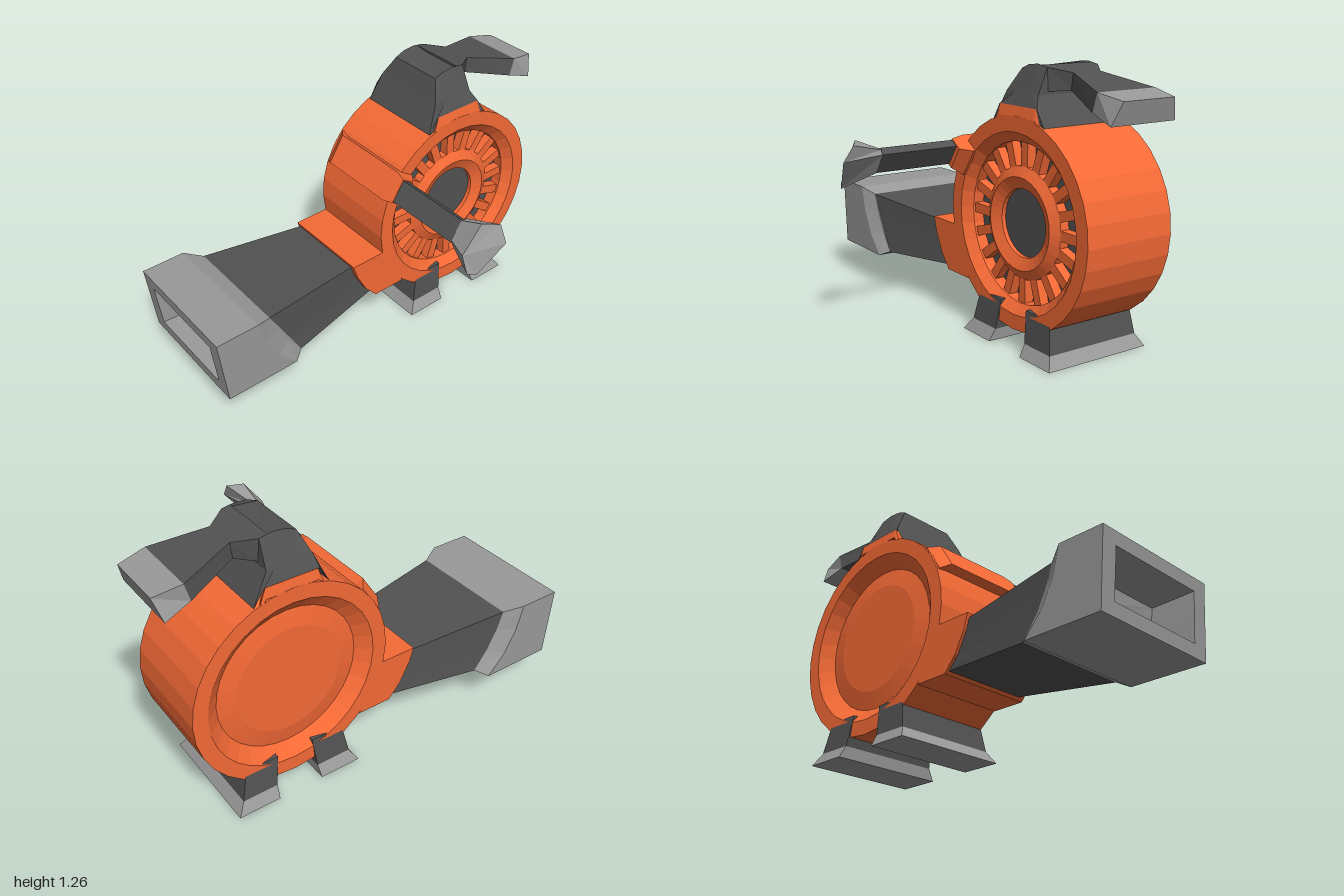
import * as THREE from 'three';

const mat = (color) => new THREE.MeshStandardMaterial({ color, flatShading: true });
const CX = 0.447, CY = 0.567, FRONT = -0.05, BACK = -0.512;

// Turns a closed geometry outward if its signed volume is negative
function outward(source) {
  const geo = source.index ? source.toNonIndexed() : source;
  const p = geo.attributes.position;
  const v = [0, 1, 2].map(() => new THREE.Vector3());
  let volume = 0;
  for (let i = 0; i < p.count; i += 3) {
    v.forEach((q, k) => q.fromBufferAttribute(p, i + k));
    volume += v[0].dot(v[1].clone().cross(v[2]));
  }
  if (volume < 0) {
    for (let i = 0; i < p.count; i += 3) {
      v.forEach((q, k) => q.fromBufferAttribute(p, i + k));
      p.setXYZ(i + 1, v[2].x, v[2].y, v[2].z);
      p.setXYZ(i + 2, v[1].x, v[1].y, v[1].z);
    }
  }
  geo.computeVertexNormals();
  return geo;
}

// Closed solid through rings of equal point count
function loft(rings) {
  const n = rings[0].length, pos = [];
  const tri = (a, b, c) => pos.push(...a, ...b, ...c);
  for (let r = 0; r < rings.length - 1; r++) {
    const a = rings[r], b = rings[r + 1];
    for (let i = 0; i < n; i++) {
      const j = (i + 1) % n;
      tri(a[i], a[j], b[j]);
      tri(a[i], b[j], b[i]);
    }
  }
  const first = rings[0], last = rings[rings.length - 1];
  for (let i = 1; i < n - 1; i++) {
    tri(first[0], first[i + 1], first[i]);
    tri(last[0], last[i], last[i + 1]);
  }
  const geo = new THREE.BufferGeometry();
  geo.setAttribute('position', new THREE.Float32BufferAttribute(pos, 3));
  return outward(geo);
}

// Ring made of an xy line at zf, returning along the same line at zb
const pair = (line, zf, zb) => [
  ...line.map(([x, y]) => [x, y, zf]),
  ...line.map(([x, y]) => [x, y, zb]).reverse(),
];

export function createModel() {
  const group = new THREE.Group();
  const orange = mat(0xf56a36), dark = mat(0x525252), light = mat(0x999999);
  const add = (name, geo, material, parent = group) => {
    const mesh = new THREE.Mesh(geo, material);
    mesh.name = name;
    parent.add(mesh);
    return mesh;
  };

  // Drum housing with dished back, front rim and raised hub ring
  const profile = [
    [0, -0.475], [0.26, -0.475], [0.345, -0.46], [0.41, BACK], [0.48, BACK],
    [0.48, FRONT], [0.41, FRONT], [0.365, -0.09], [0.365, -0.15], [0.255, -0.15],
    [0.255, -0.1], [0.21, -0.075], [0.155, -0.1], [0.155, -0.14], [0, -0.14],
  ].map(([r, z]) => new THREE.Vector2(r, z));
  const drum = new THREE.LatheGeometry(profile, 32).rotateX(Math.PI / 2);
  add('drumHousing', outward(drum), orange).position.set(CX, CY, 0);

  // Intake grille
  const grille = new THREE.Group();
  grille.name = 'intakeGrille';
  grille.position.set(CX, CY, 0);
  group.add(grille);
  add('grilleBacking', new THREE.RingGeometry(0.25, 0.37, 40), dark, grille).position.z = -0.145;
  add('hubDisc', new THREE.CircleGeometry(0.157, 32), dark, grille).position.z = -0.12;
  for (let i = 0; i < 20; i++) {
    const spoke = new THREE.BoxGeometry(0.045, 0.12, 0.045).translate(0, 0.31, -0.1225);
    add('grilleSpoke', spoke, orange, grille).rotation.z = (i * Math.PI) / 10;
  }

  // Outlet collar on the drum
  const collar = [[0.1, 0.23], [-0.07, 0.23], [-0.13, 0.3], [-0.18, 0.4], [-0.2, 0.47], [-0.01, 0.47]];
  add('outletCollar', loft([FRONT, BACK].map((z) => collar.map(([x, y]) => [x, y, z]))), orange);

  // Flared nozzle duct
  const ductEnd = pair([[-0.71, 0.49], [-0.68, 0.4], [-0.63, 0.3], [-0.56, 0.205]], 0, -0.56);
  add('nozzleDuct', loft([
    pair([[-0.13, 0.447], [-0.11, 0.38], [-0.07, 0.3], [-0.02, 0.248]], -0.09, -0.49),
    ductEnd,
  ]), dark);

  // Hollow nozzle mouth
  add('nozzleMouth', loft([
    ductEnd,
    pair([[-0.79, 0.52], [-0.76, 0.4], [-0.7, 0.28], [-0.61, 0.18]], 0.035, -0.61),
    pair([[-1, 0.52], [-0.991, 0.4], [-0.982, 0.28], [-0.975, 0.18]], 0.035, -0.61),
    pair([[-0.996, 0.46], [-0.991, 0.39], [-0.984, 0.31], [-0.979, 0.24]], -0.04, -0.535),
    pair([[-0.82, 0.43], [-0.815, 0.38], [-0.81, 0.32], [-0.8, 0.27]], -0.08, -0.495),
  ]), light);

  // Top saddle and grip post
  const saddle = [[0.285, 0.99], [0.325, 1.088], [0.57, 1.088], [0.61, 0.99]];
  add('topSaddle', loft([
    pair(saddle.map(([x, y]) => [x, Math.min(y, 1.04)]), FRONT, BACK),
    pair(saddle, -0.06, -0.504),
  ]), orange);
  add('gripPost', loft([
    pair([[0.27, 1.01], [0.315, 1.086], [0.575, 1.086], [0.625, 1.01]], -0.061, -0.503),
    pair([[0.33, 1.145], [0.4, 1.15], [0.5, 1.15], [0.545, 1.14]], -0.09, -0.475),
    pair([[0.37, 1.24], [0.42, 1.26], [0.48, 1.265], [0.54, 1.255]], -0.14, -0.42),
  ]), dark);

  // Rear grip arm and its tip
  const armEnd = pair([[0.872, 1.184], [0.848, 1.1]], -0.12, -0.435);
  add('gripArm', loft([
    pair([[0.5, 1.262], [0.5, 1.15]], -0.14, -0.42),
    pair([[0.54, 1.255], [0.54, 1.152]], -0.14, -0.42),
    pair([[0.63, 1.236], [0.62, 1.162]], -0.205, -0.355),
    armEnd,
  ]), dark);
  add('gripTip', loft([
    armEnd,
    [[1, 1.16, -0.14], [0.97, 1.06, -0.105], [0.97, 1.06, -0.455], [1, 1.16, -0.415]],
  ]), light);

  // Side handle: rectangles laid along the drum's tangent and radius
  const slab = (z, halfWidth, inner, outer) =>
    [[-1, inner], [1, inner], [1, outer], [-1, outer]].map(([s, r]) => [
      0.04 + 0.55 * s * halfWidth - 0.83 * r,
      0.835 + 0.83 * s * halfWidth + 0.55 * r, z,
    ]);
  add('handleMount', loft([
    slab(-0.5, 0.085, -0.07, -0.01),
    slab(-0.45, 0.075, -0.07, 0.028),
    slab(-0.04, 0.075, -0.085, 0.028),
    slab(0.012, 0.06, -0.045, 0.026),
  ]), orange);
  add('handleRod', loft([slab(0, 0.055, -0.022, 0.022), slab(0.4, 0.055, -0.022, 0.022)]), dark);
  add('handleKnob', loft([
    [[-0.008, 0.815, 0.4], [0.05, 0.893, 0.4], [0.08, 0.89, 0.4],
      [0.088, 0.868, 0.4], [0.03, 0.777, 0.4], [0, 0.787, 0.4]],
    [[-0.045, 0.815, 0.51], [0.055, 0.94, 0.515], [0.125, 0.93, 0.56],
      [0.118, 0.86, 0.605], [0, 0.72, 0.56], [-0.04, 0.73, 0.54]],
  ]), light);

  // Feet, mirrored about the drum's centre line
  for (const side of [-1, 1]) {
    const at = (outer, inner, y, zf, zb) => pair([[CX + side * outer, y], [CX + side * inner, y]], zf, zb);
    const ankle = at(0.28, 0.107, 0.055, -0.035, -0.527);
    add('footPost', loft([at(0.25, 0.09, 0.2, -0.053, -0.509), ankle]), dark);
    add('footPad', loft([ankle, at(0.317, 0.112, 0, -0.004, -0.556)]), light);
  }

  return group;
}
